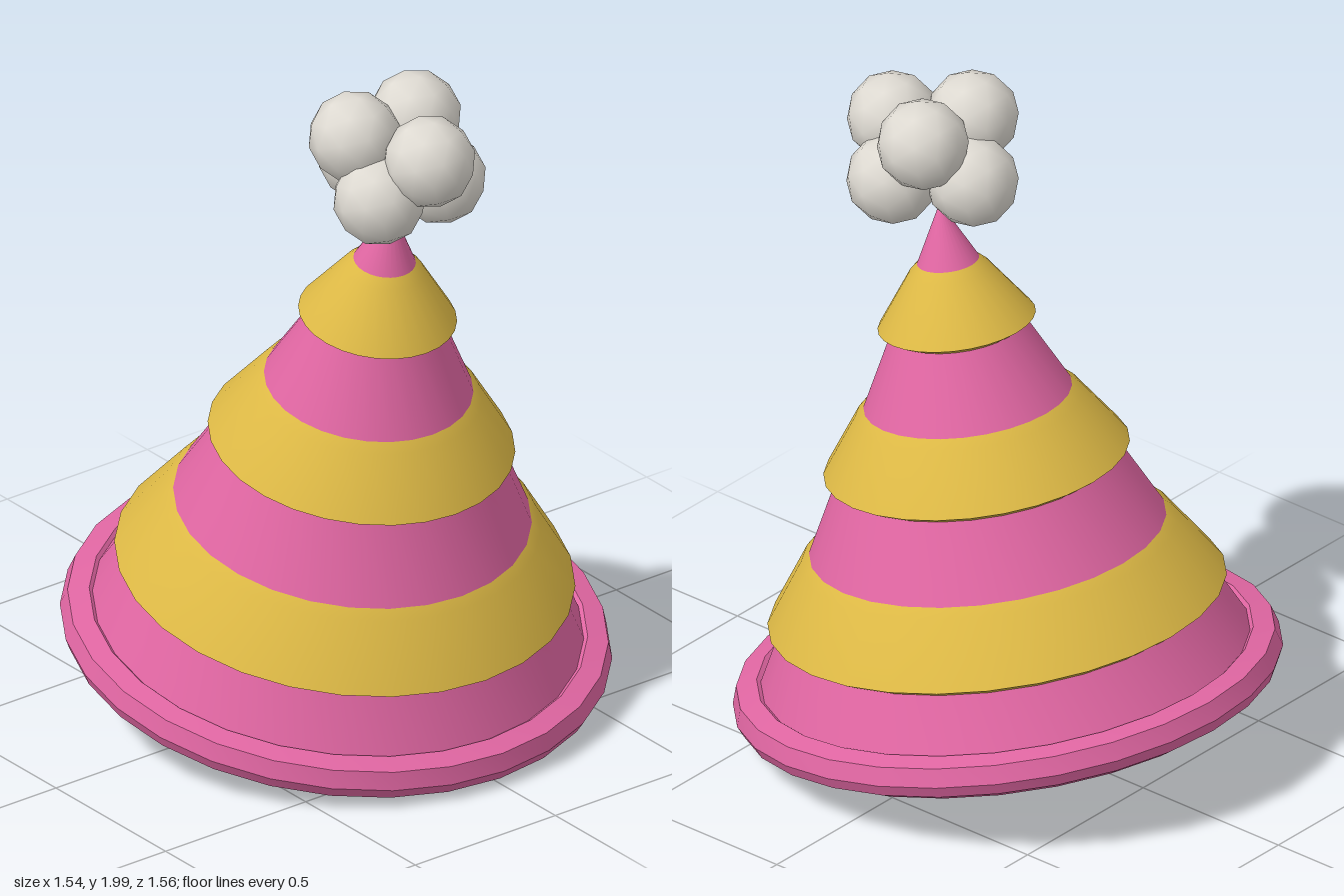
import * as THREE from 'three';
import { toCreasedNormals } from 'three/addons/utils/BufferGeometryUtils.js';

const SEGMENTS = 28;
const TIP = 1.51;

export function createModel() {
  const mat = (name, color, side = THREE.FrontSide) => {
    const m = new THREE.MeshStandardMaterial({ color, side });
    m.name = name;
    return m;
  };
  const pink = mat('pink', 0xe066a2, THREE.DoubleSide);
  const yellow = mat('yellow', 0xdcb845, THREE.DoubleSide);
  const white = mat('warm white', 0xdedad2);

  const model = new THREE.Group();
  model.name = 'partyHat';

  // Everything but the pompom is turned around one leaning axis
  const hat = new THREE.Group();
  hat.name = 'leaningHat';
  hat.position.set(-0.01, 0.133, 0);
  hat.rotation.z = -THREE.MathUtils.degToRad(10);
  model.add(hat);

  const turn = (name, profile, material) => {
    const pts = profile.map(([r, y]) => new THREE.Vector2(r, y));
    const geo = toCreasedNormals(new THREE.LatheGeometry(pts, SEGMENTS), 0.62);
    const mesh = new THREE.Mesh(geo, material);
    mesh.name = name;
    hat.add(mesh);
  };
  const coneRadius = (y) => 0.69 * (TIP - y) / (TIP - 0.12);

  // Rolled rim
  turn('rim', [
    [0.675, 0.03], [0.72, -0.004], [0.765, 0.02], [0.781, 0.055], [0.765, 0.107],
    [0.705, 0.12], [0.683, 0.1], [0.675, 0.03],
  ], pink);

  // Flared bands: [bottom, top] heights along the axis
  const bands = [[0.267, 0.488], [0.704, 0.913], [1.128, 1.332]];
  bands.forEach(([y0, y1], i) => {
    const r0 = coneRadius(y0), r1 = coneRadius(y1);
    turn('flaredBand' + (i + 1), [
      [r0, y0], [r0 + 0.035, y0 + 0.02], [r1 + 0.026, y1 - 0.025], [r1, y1], [r0, y0],
    ], yellow);
  });

  // Plain cone sections between the bands
  const edges = [0.09, ...bands.flat(), TIP];
  for (let i = 0; i < edges.length; i += 2) {
    const [y0, y1] = [edges[i], edges[i + 1]];
    turn('coneSection' + (i / 2 + 1), [[coneRadius(y0), y0], [coneRadius(y1), y1]], pink);
  }

  // Pompom of six overlapping balls
  const pompom = new THREE.Group();
  pompom.name = 'pompom';
  const ball = new THREE.IcosahedronGeometry(0.132, 1);
  const centres = [[0.13, 1.735, 0], [0.425, 1.835, 0]];
  for (const z of [-0.108, 0.108]) centres.push([0.222, 1.866, z], [0.335, 1.715, z]);
  centres.forEach((c, i) => {
    const mesh = new THREE.Mesh(ball, white);
    mesh.name = 'pompomBall' + (i + 1);
    mesh.position.set(...c);
    mesh.rotation.z = -THREE.MathUtils.degToRad(10);
    pompom.add(mesh);
  });
  model.add(pompom);

  return model;
}
